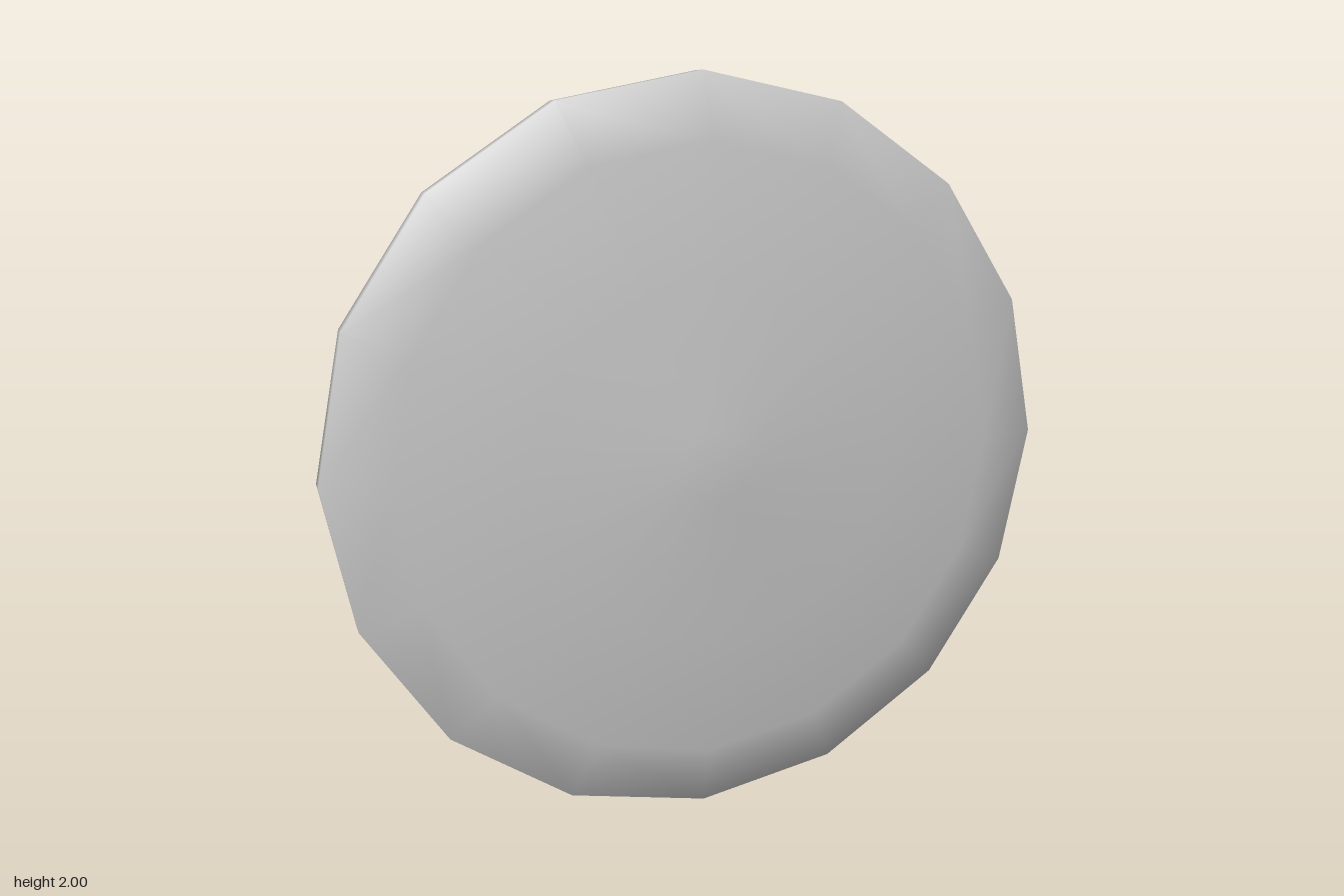
import * as THREE from 'three';

export function createModel() {
  const group = new THREE.Group();
  group.name = 'roundShield';

  // Closed cross-section as [radius, z]: hollow back, rim, domed front
  const profile = [
    [0, 0.06], [0.1, 0.06], [0.89, -0.02], // hollow back
    [0.93, -0.09], [1, -0.07], [1, -0.015], // rim
    [0.83, 0.03], [0.5, 0.06], [0.1, 0.092], [0, 0.092], // domed front
  ].map(([r, z]) => new THREE.Vector2(r, z));

  // 16-sided smooth shell, turned so its axis points to the front
  const geometry = new THREE.LatheGeometry(profile, 16);
  geometry.rotateX(Math.PI / 2);

  const shell = new THREE.Mesh(geometry, new THREE.MeshStandardMaterial({ color: 0xcccccc }));
  shell.name = 'shieldShell';
  shell.position.y = 1;
  group.add(shell);
  return group;
}
